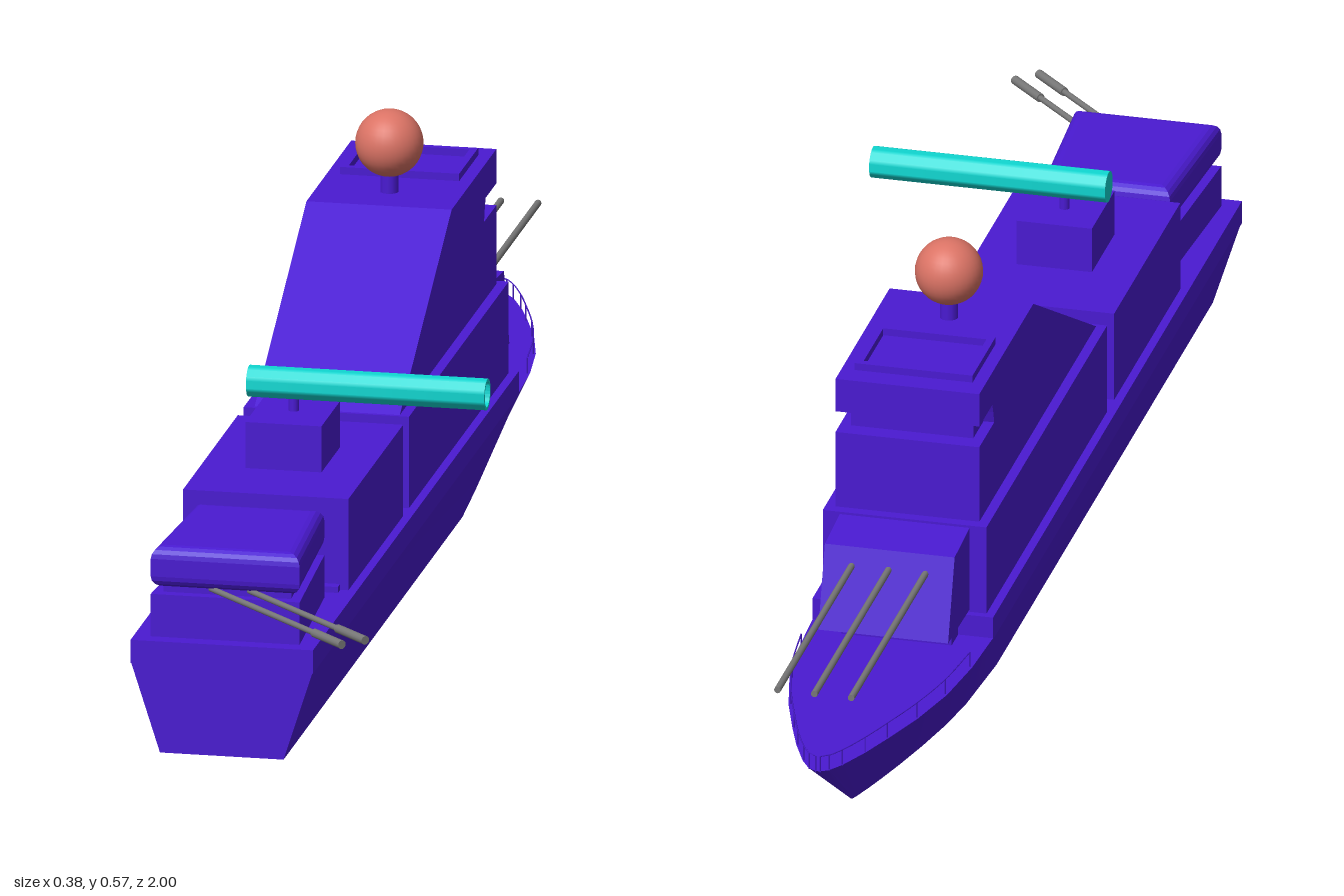
import * as THREE from 'three';
import { toCreasedNormals } from 'three/addons/utils/BufferGeometryUtils.js';

const mat = (color, side = THREE.FrontSide) => new THREE.MeshStandardMaterial({ color, side });
const paint = mat(0x4a1ad2), steel = mat(0x777777), coral = mat(0xdb7365);
const cyan = mat(0x10d8d2, THREE.DoubleSide);

export function createModel() {
  const model = new THREE.Group();
  const ship = new THREE.Group();
  ship.name = 'ship';
  ship.position.x = -0.07;
  model.add(ship);

  const add = (name, geo, material = paint) => {
    const mesh = new THREE.Mesh(geo, material);
    mesh.name = name;
    ship.add(mesh);
    return mesh;
  };
  // Box from half width and y, z ranges
  const block = (name, hw, y0, y1, z0, z1) =>
    add(name, new THREE.BoxGeometry(2 * hw, y1 - y0, z1 - z0).translate(0, (y0 + y1) / 2, (z0 + z1) / 2));
  // Side profile of [z, y] points extruded across the beam
  const sideProfile = (name, hw, pts) => {
    const shape = new THREE.Shape(pts.map(p => new THREE.Vector2(...p)));
    const geo = new THREE.ExtrudeGeometry(shape, { depth: 2 * hw, bevelEnabled: false });
    return add(name, geo.translate(0, 0, -hw).rotateY(-Math.PI / 2));
  };
  // Plan of [x, z] points extruded upward from y0
  const plan = (name, pts, y0, y1, bevel = 0) => {
    const shape = new THREE.Shape(pts.map(([x, z]) => new THREE.Vector2(x, -z)));
    const geo = new THREE.ExtrudeGeometry(shape, {
      depth: y1 - y0 - 2 * bevel, bevelEnabled: bevel > 0, bevelSize: bevel,
      bevelOffset: -bevel, bevelThickness: bevel, bevelSegments: 4,
    });
    return add(name, geo.rotateX(-Math.PI / 2).translate(0, y0 + bevel, 0));
  };
  // Cylinder between two points
  const rod = (name, a, b, r, material = steel, sides = 12) => {
    const p = new THREE.Vector3(...a), q = new THREE.Vector3(...b);
    const mesh = add(name, new THREE.CylinderGeometry(r, r, p.distanceTo(q), sides), material);
    mesh.position.copy(p).add(q).multiplyScalar(0.5);
    mesh.quaternion.setFromUnitVectors(new THREE.Vector3(0, 1, 0), q.sub(p).normalize());
    return mesh;
  };

  // Hull stations: deck z, deck half width, keel z, keel half width
  const stations = [
    [0.81, 0.122, 0.81, 0.083], [-0.35, 0.122, -0.35, 0.083], [-0.53, 0.122, -0.48, 0.074],
    [-0.62, 0.118, -0.55, 0.064], [-0.71, 0.107, -0.62, 0.05], [-0.79, 0.088, -0.68, 0.036],
    [-0.86, 0.065, -0.73, 0.023], [-0.91, 0.047, -0.765, 0.013], [-0.955, 0.027, -0.79, 0.005],
    [-0.975, 0.014, -0.798, 0.002], [-0.982, 0.003, -0.8, 0.001],
  ];
  const pos = [], idx = [];
  stations.forEach(([zt, t, zb, b], s) => {
    pos.push(b, 0, zb, t, 0.122, zt, -t, 0.122, zt, -b, 0, zb);
    if (!s) return;
    for (let i = 0; i < 4; i++) {
      const j = (i + 1) % 4, o = 4 * (s - 1), n = 4 * s;
      idx.push(o + i, n + i, o + j, o + j, n + i, n + j);
    }
  });
  const e = 4 * (stations.length - 1);
  idx.push(0, 1, 2, 0, 2, 3, e, e + 2, e + 1, e, e + 3, e + 2);
  const hull = new THREE.BufferGeometry();
  hull.setAttribute('position', new THREE.Float32BufferAttribute(pos, 3));
  hull.setIndex(idx);
  add('hull', toCreasedNormals(hull, 0.5));
  block('mainDeck', 0.1225, 0.12, 0.152, -0.525, 0.81);

  // Bow railing
  for (const s of [-1, 1]) {
    const line = stations.slice(3).map(([z, x]) => new THREE.Vector3(s * x * 0.97, 0.143, z + 0.002));
    add('bowRail', new THREE.TubeGeometry(new THREE.CatmullRomCurve3(line), 24, 0.001, 4));
    for (const p of line) rod('railPost', [p.x, 0.12, p.z], [p.x, 0.143, p.z], 0.001, paint, 4);
  }

  // Stern turret: base, recessed neck and rounded hood
  const trapezoid = d => [[-0.1 + d, 0.788 - d], [0.1 - d, 0.788 - d], [0.087 - d, 0.565 + d], [-0.087 + d, 0.565 + d]];
  plan('sternTurretBase', trapezoid(0), 0.15, 0.21);
  plan('sternTurretNeck', trapezoid(0.014), 0.21, 0.23);
  plan('sternTurretHood', trapezoid(0), 0.218, 0.274, 0.016);
  // Twin barrels swung to one side, with thicker muzzles
  for (const o of [-1, 1]) {
    const at = d => [0.095 + o * 0.013 + d * 0.707, 0.217, 0.863 - o * 0.013 + d * 0.707];
    rod('sternBarrel', at(-0.155), at(0.1), 0.004);
    rod('sternMuzzle', at(0.1), at(0.166), 0.006);
  }

  // Midship deckhouse with launcher tube
  block('midshipPlinth', 0.1, 0.15, 0.16, 0.155, 0.54);
  block('midshipHouse', 0.111, 0.15, 0.277, 0.17, 0.525);
  block('launcherPedestal', 0.051, 0.27, 0.34, 0.288, 0.41);
  rod('launcherPost', [0, 0.33, 0.343], [0, 0.37, 0.343], 0.007, paint);
  const tube = [[0, -0.16], [0.021, -0.16], [0.021, 0.16], [0.017, 0.16], [0.017, 0.1], [0, 0.1]];
  const launcher = new THREE.LatheGeometry(tube.map(p => new THREE.Vector2(...p)), 24);
  add('launcherTube', toCreasedNormals(launcher.rotateZ(-Math.PI / 2), 0.6), cyan)
    .position.set(0.1, 0.377, 0.343);

  // Main superstructure with a window slot around the bridge
  block('superstructureBase', 0.111, 0.15, 0.277, -0.515, 0.132);
  sideProfile('superstructure', 0.0975, [
    [0.13, 0.275], [-0.5, 0.275], [-0.5, 0.385], [-0.42, 0.385], [-0.425, 0.402], [-0.43, 0.415],
    [-0.5, 0.415], [-0.5, 0.462], [-0.21, 0.462],
  ]);
  block('bridgeWindowBand', 0.083, 0.38, 0.42, -0.475, -0.4);

  // Raised roof frame
  for (const s of [-1, 1]) block('roofFrameSide', 0.005, 0.46, 0.472, -0.467, -0.343).position.x = s * 0.075;
  block('roofFrameEnd', 0.08, 0.46, 0.472, -0.353, -0.343);
  block('roofFrameEnd', 0.08, 0.46, 0.472, -0.467, -0.457);

  // Radar dome
  rod('domePost', [0, 0.455, -0.277], [0, 0.5, -0.277], 0.012, paint);
  add('radarDome', new THREE.SphereGeometry(0.045, 32, 20), coral).position.set(0, 0.529, -0.277);

  // Bow turret and triple barrels
  sideProfile('bowTurret', 0.088, [[-0.5, 0.155], [-0.5, 0.275], [-0.595, 0.267], [-0.63, 0.158]]);
  block('bowTurretRing', 0.075, 0.12, 0.16, -0.56, -0.5);
  for (const x of [-0.05, 0, 0.05]) rod('bowBarrel', [x, 0.242, -0.58], [x, 0.242, -1], 0.0045);

  return model;
}
